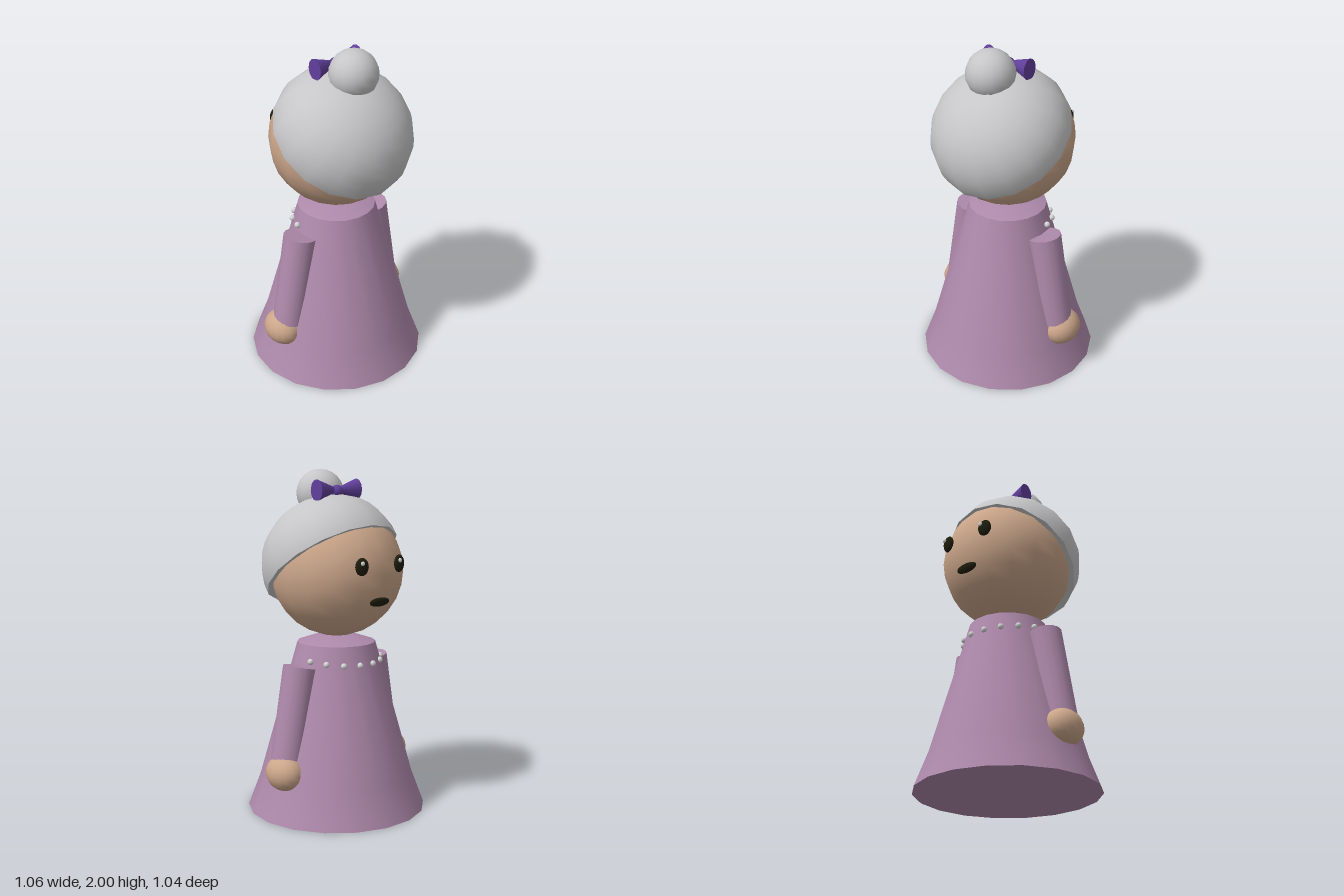
import * as THREE from 'three';

const flat = (name, color) => Object.assign(new THREE.MeshStandardMaterial({ color }), { name });

export function createModel() {
  const model = new THREE.Group();
  model.name = 'grandmotherFigure';

  const dress = flat('mauve dress', 0xae89ab);
  const skin = flat('skin', 0xcba68a);
  const hair = flat('grey hair', 0xc6c6c8);
  const purple = flat('purple ribbon', 0x61409c);
  const dark = flat('dark features', 0x1e1c0c);
  const pearl = flat('pearl', 0xd4d4d4);

  const add = (name, geometry, material, x = 0, y = 0, z = 0, parent = model) => {
    const mesh = new THREE.Mesh(geometry, material);
    mesh.name = name;
    mesh.position.set(x, y, z);
    parent.add(mesh);
    return mesh;
  };
  const ellipsoid = (rx, ry, rz, w = 16, h = 12) =>
    new THREE.SphereGeometry(1, w, h).scale(rx, ry, rz);
  const lathe = (pts) =>
    new THREE.LatheGeometry(pts.map((p) => new THREE.Vector2(...p)), 18, Math.PI / 2);

  // Dress: flared skirt, sloped shoulders and a flat base
  add('skirt', lathe([[0.53, 0], [0.455, 0.2], [0.23, 1]]), dress);
  add('shoulders', lathe([[0.23, 1], [0.11, 1.04], [0, 1.04]]), dress);
  add('skirtBase', new THREE.CircleGeometry(0.53, 18).rotateX(Math.PI / 2), dress);

  // Head, facing -z
  add('head', ellipsoid(0.388, 0.385, 0.392, 16, 14), skin, 0, 1.42, 0);

  // Hair: tilted cap with a closed lip along the hairline
  const cap = new THREE.Group();
  cap.name = 'hairCap';
  cap.position.set(0, 1.471, 0.05);
  cap.rotation.x = 0.638;
  model.add(cap);
  const R = 0.415, cut = 1.65, squash = 0.9;
  add('hair', new THREE.SphereGeometry(R, 16, 9, Math.PI / 2, Math.PI * 2, 0, cut).scale(1, squash, 1),
    hair, 0, 0, 0, cap);
  add('hairline', new THREE.RingGeometry(0.34, R * Math.sin(cut), 16).rotateX(Math.PI / 2),
    hair, 0, R * Math.cos(cut) * squash, 0, cap);
  add('bun', ellipsoid(0.14, 0.14, 0.14, 16, 12), hair, 0, 1.86, 0.14);

  // Bow: two cones meeting at a knot
  add('bowKnot', ellipsoid(0.036, 0.036, 0.036, 12, 8), purple, 0, 1.875, -0.005);
  for (const side of [-1, 1]) {
    const wing = new THREE.CylinderGeometry(0.012, 0.05, 0.14, 12)
      .rotateZ(side * Math.PI / 2).scale(1, 1.25, 1);
    add('bowWing', wing, purple, side * 0.085, 1.882, -0.003);
  }

  // Eyes with glints, and mouth
  for (const side of [-1, 1]) {
    const eye = add('eye', ellipsoid(0.042, 0.05, 0.022), dark, side * 0.146, 1.475, -0.366);
    eye.rotation.y = -side * 0.2;
    add('eyeGlint', ellipsoid(0.013, 0.013, 0.01, 8, 6), pearl, side * 0.146 + 0.013, 1.495, -0.387);
  }
  const mouth = add('mouth', ellipsoid(0.075, 0.027, 0.018), dark, 0, 1.267, -0.358);
  mouth.rotation.x = -0.3;

  // Arms: slanted sleeves and rounded hands
  for (const side of [-1, 1]) {
    const sleeve = add('sleeve', new THREE.CylinderGeometry(0.1, 0.1, 0.56, 16), dress,
      side * 0.332, 0.605, 0);
    sleeve.rotation.z = side * 0.18;
    add('hand', ellipsoid(0.105, 0.106, 0.125), skin, side * 0.418, 0.28, -0.02);
  }

  // Necklace across the front of the collar
  for (let i = 0; i < 8; i++) {
    const a = THREE.MathUtils.degToRad(-77 + i * 22);
    add('necklaceBead', ellipsoid(0.018, 0.018, 0.018, 10, 8), pearl,
      0.262 * Math.sin(a), 0.92 - 0.028 * Math.cos(a), -0.262 * Math.cos(a));
  }

  return model;
}
